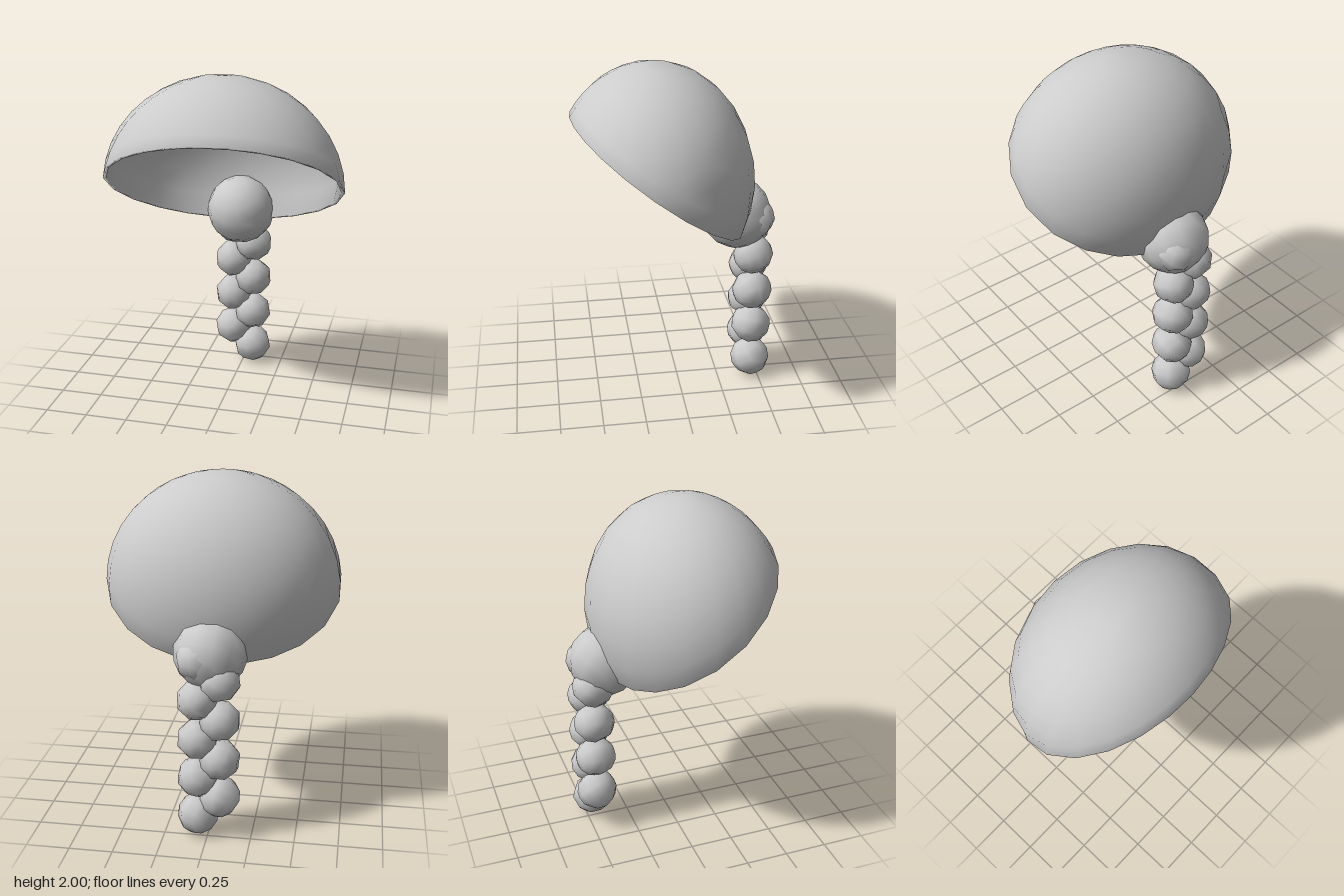
import * as THREE from 'three';

const material = new THREE.MeshStandardMaterial({ color: 0xcccccc, side: THREE.DoubleSide });

// Hollow ellipsoid cap cut by a slanted plane: outer wall down to the rim, inner wall back up
function capGeometry() {
  const cols = 22, rows = 9, thickness = 0.02;
  const center = new THREE.Vector3(0, 1.34, 0.13);
  const radii = [0.695, 0.66, 0.572];
  const slopeX = 0.055, slopeZ = 0.726, lift = 0.035;
  const positions = [], indices = [];
  const total = rows * 2 + 2;
  for (let i = 0; i < total; i++) {
    const inner = i > rows;
    const t = inner ? (total - 1 - i) / rows : i / rows;
    const [rx, ry, rz] = radii.map((r) => r - (inner ? thickness : 0));
    for (let j = 0; j < cols; j++) {
      const a = (j / cols) * Math.PI * 2;
      // Polar angle at which this column meets the cutting plane
      const b = slopeX * rx * Math.sin(a) + slopeZ * rz * Math.cos(a);
      const end = Math.acos(lift / Math.hypot(ry, b)) - Math.atan2(b, ry);
      const p = t * end;
      positions.push(
        center.x + rx * Math.sin(p) * Math.sin(a),
        center.y + ry * Math.cos(p),
        center.z + rz * Math.sin(p) * Math.cos(a)
      );
    }
  }
  for (let i = 0; i < total - 1; i++) {
    for (let j = 0; j < cols; j++) {
      const k = (j + 1) % cols;
      const p = i * cols + j, q = i * cols + k, r = p + cols, s = q + cols;
      if (i > 0) indices.push(p, r, q);
      if (i < total - 2) indices.push(q, r, s);
    }
  }
  // Close both poles on the first vertex of the pole row so normals stay smooth
  const pole = (index, row) => (Math.floor(index / cols) === row ? row * cols : index);
  const closed = indices.map((n) => pole(pole(n, 0), total - 1));
  const geometry = new THREE.BufferGeometry();
  geometry.setAttribute('position', new THREE.Float32BufferAttribute(positions, 3));
  geometry.setIndex(closed);
  geometry.computeVertexNormals();
  return geometry;
}

function ball(name, radius, segments, rings, x, y, z, tilt) {
  const mesh = new THREE.Mesh(new THREE.SphereGeometry(radius, segments, rings), material);
  mesh.name = name;
  mesh.position.set(x, y, z);
  mesh.rotation.set(...tilt);
  return mesh;
}

export function createModel() {
  const model = new THREE.Group();
  model.name = 'hairpiece';

  // Bowl-shaped hair cap
  const cap = new THREE.Mesh(capGeometry(), material);
  cap.name = 'hairCap';
  model.add(cap);

  // Bun at the nape
  model.add(ball('bun', 0.21, 12, 8, 0, 1.08, -0.36, [0.5, 0.2, 0.1]));

  // Braid: beads alternating between two columns
  const braid = new THREE.Group();
  braid.name = 'braid';
  for (let i = 0; i < 9; i++) {
    const x = i % 2 === 0 ? 0.06 : -0.065;
    const y = 0.12 + i * 0.1185;
    braid.add(ball('braidBead' + (i + 1), 0.12, 8, 6, x, y, -0.455, [0.4 + i * 0.3, i * 0.7, 0.3]));
  }
  model.add(braid);

  return model;
}
